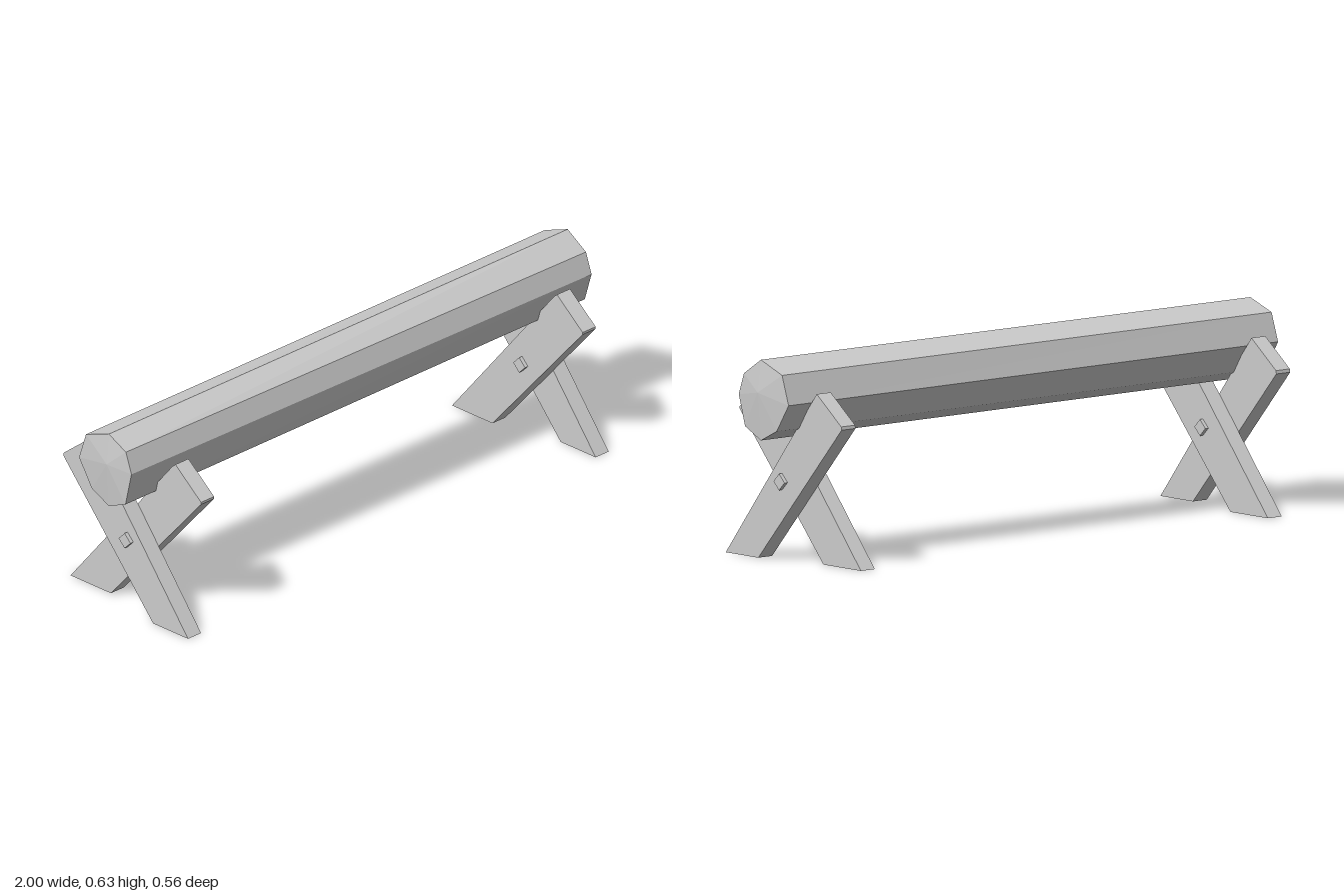
import * as THREE from 'three';

const material = new THREE.MeshStandardMaterial({ color: 0xcccccc, flatShading: true });

// Extrudes a [z, y] outline along x, from x0 to x1
function plank(name, outline, x0, x1) {
  const shape = new THREE.Shape(outline.map(([z, y]) => new THREE.Vector2(-z, y)));
  const geometry = new THREE.ExtrudeGeometry(shape, { depth: x1 - x0, bevelEnabled: false });
  geometry.rotateY(Math.PI / 2).translate(x0, 0, 0);
  const mesh = new THREE.Mesh(geometry, material);
  mesh.name = name;
  return mesh;
}

// Irregular eight-sided log lofted between two [z, y] rings, with slightly pointed ends
function log(leftRing, rightRing) {
  const L = leftRing.map(([z, y]) => [-0.988, y, z]);
  const R = rightRing.map(([z, y]) => [0.988, y, z]);
  const leftTip = [-1, 0.53, 0.017], rightTip = [1, 0.53, 0.017];
  const positions = [];
  for (let i = 0; i < L.length; i++) {
    const j = (i + 1) % L.length;
    positions.push(...L[i], ...R[i], ...R[j], ...L[i], ...R[j], ...L[j]);
    positions.push(...rightTip, ...R[j], ...R[i], ...leftTip, ...L[i], ...L[j]);
  }
  const geometry = new THREE.BufferGeometry();
  geometry.setAttribute('position', new THREE.Float32BufferAttribute(positions, 3));
  geometry.computeVertexNormals();
  const mesh = new THREE.Mesh(geometry, material);
  mesh.name = 'logBeam';
  return mesh;
}

export function createModel() {
  const model = new THREE.Group();
  model.name = 'logBench';

  // Beam
  model.add(log(
    [[0.015, 0.628], [-0.083, 0.593], [-0.113, 0.505], [-0.058, 0.418],
      [0.015, 0.384], [0.086, 0.414], [0.112, 0.525], [0.088, 0.592]],
    [[0.015, 0.63], [-0.083, 0.593], [-0.113, 0.503], [-0.058, 0.418],
      [0.015, 0.382], [0.088, 0.418], [0.117, 0.513], [0.093, 0.58]]
  ));

  // Crossed legs: the outer plank leans back, the inner one leans forward
  const outer = [[0.28, 0], [0.13, 0], [-0.255, 0.435], [-0.253, 0.445], [-0.14, 0.533], [-0.15, 0.527]];
  outer.pop();
  const inner = [[-0.28, 0], [-0.107, 0], [0.28, 0.436], [0.28, 0.443], [0.17, 0.533], [0.157, 0.522]];
  for (const [side, x, s] of [['left', 0.842, 1], ['right', -0.857, -1]]) {
    const legs = new THREE.Group();
    legs.name = side + 'Legs';
    const span = (a, b) => [x + s * a, x + s * b].sort((p, q) => p - q);
    legs.add(plank('outerLeg', outer, ...span(0, 0.056)));
    legs.add(plank('innerLeg', inner, ...span(-0.056, 0)));

    // Square peg through the crossing
    const peg = new THREE.Mesh(new THREE.BoxGeometry(0.137, 0.036, 0.036), material);
    peg.name = 'peg';
    peg.rotation.x = Math.PI / 4;
    peg.position.set(x, 0.246, 0.02);
    legs.add(peg);
    model.add(legs);
  }
  return model;
}
